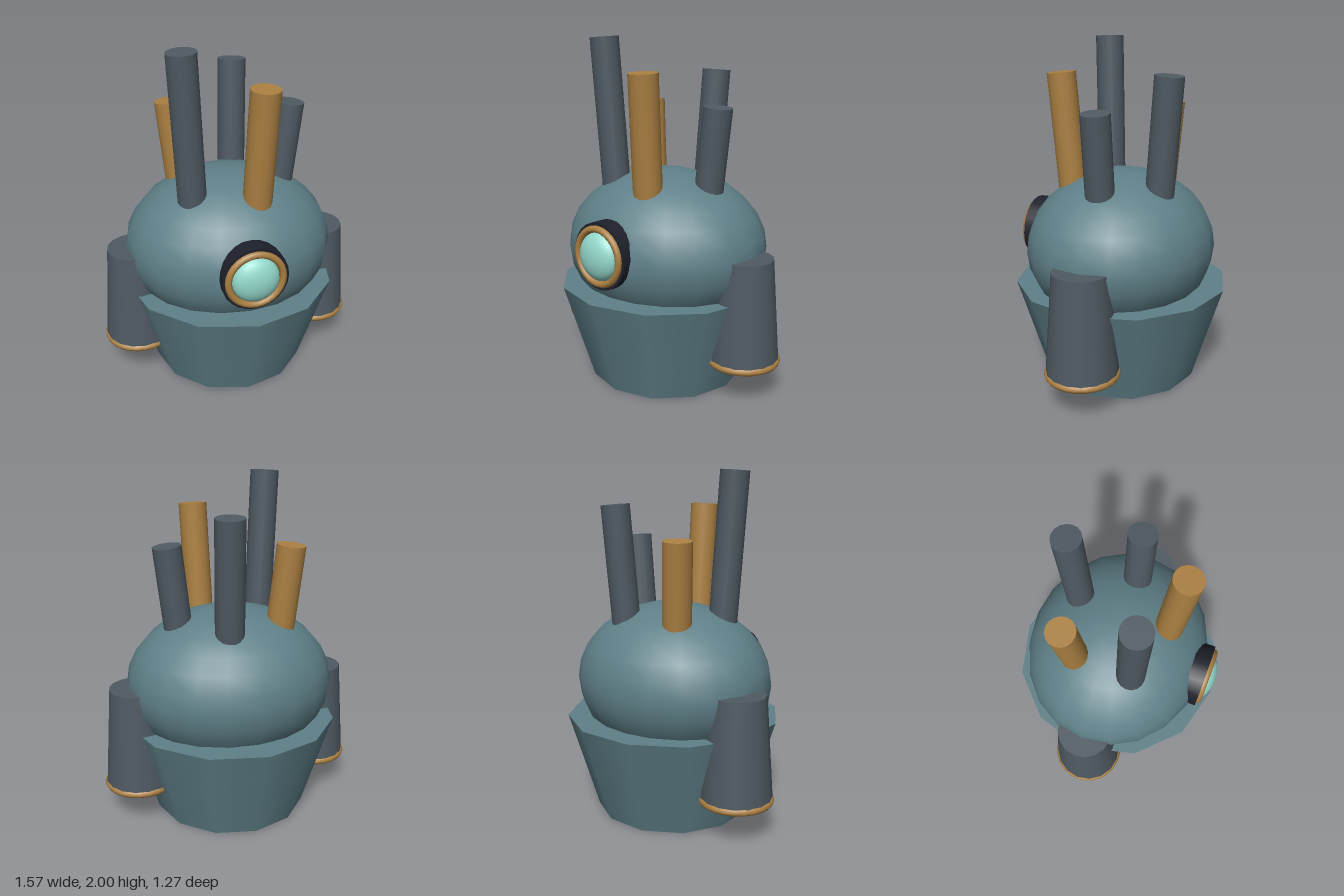
import * as THREE from 'three';

const paint = (name, color) => {
  const m = new THREE.MeshStandardMaterial({ color });
  m.name = name;
  return m;
};

export function createModel() {
  const group = new THREE.Group();
  const teal = paint('dustyTeal', 0x5f8088);
  const slate = paint('slate', 0x4f5a62);
  const brass = paint('brass', 0xab8042);
  const dark = paint('darkMetal', 0x1e202b);
  const glass = paint('paleGlass', 0x94d8cb);

  const add = (name, geometry, material, x = 0, y = 0, z = 0) => {
    const mesh = new THREE.Mesh(geometry, material);
    mesh.name = name;
    mesh.position.set(x, y, z);
    group.add(mesh);
    return mesh;
  };

  // Twelve-sided tub and the egg-shaped body resting in it
  add('tub', new THREE.CylinderGeometry(0.635, 0.46, 0.575, 12), teal, 0, 0.2875, 0);
  add('body', new THREE.SphereGeometry(1, 20, 14), teal, 0, 0.79, 0).scale.set(0.62, 0.46, 0.55);

  // Eye: dark housing, brass ring, domed lens
  const eyeY = 0.835;
  add('eyeHousing', new THREE.CylinderGeometry(0.19, 0.19, 0.2, 24), dark, 0, eyeY, 0.464).rotation.x = Math.PI / 2;
  add('eyeRing', new THREE.TorusGeometry(0.155, 0.02, 8, 28), brass, 0, eyeY, 0.57);
  add('eyeLens', new THREE.SphereGeometry(0.136, 24, 16), glass, 0, eyeY, 0.56).scale.z = 0.52;

  // Flared arms with brass cuffs
  for (const [side, s] of [['left', 1], ['right', -1]]) {
    add(side + 'Arm', new THREE.CylinderGeometry(0.16, 0.205, 0.6, 16), slate, s * 0.57, 0.512, 0);
    add(side + 'Cuff', new THREE.TorusGeometry(0.191, 0.022, 8, 24), brass, s * 0.57, 0.218, 0).rotation.x = Math.PI / 2;
  }

  // Five pipes fanning slightly outwards from the crown
  const up = new THREE.Vector3(0, 1, 0);
  [1.622, 1.808, 1.995, 1.622, 1.808].forEach((topY, i) => {
    const a = (i * Math.PI * 2) / 5, c = Math.cos(a), s = Math.sin(a);
    const base = new THREE.Vector3(0.305 * c, 1.08, 0.28 * s);
    const top = new THREE.Vector3(0.367 * c, topY, 0.34 * s);
    const dir = top.clone().sub(base);
    const pipe = add('pipe' + (i + 1), new THREE.CylinderGeometry(0.083, 0.083, dir.length(), 16), i % 2 ? brass : slate);
    pipe.position.copy(base).add(top).multiplyScalar(0.5);
    pipe.quaternion.setFromUnitVectors(up, dir.normalize());
    if (i === 4) pipe.material = slate;
  });

  return group;
}
